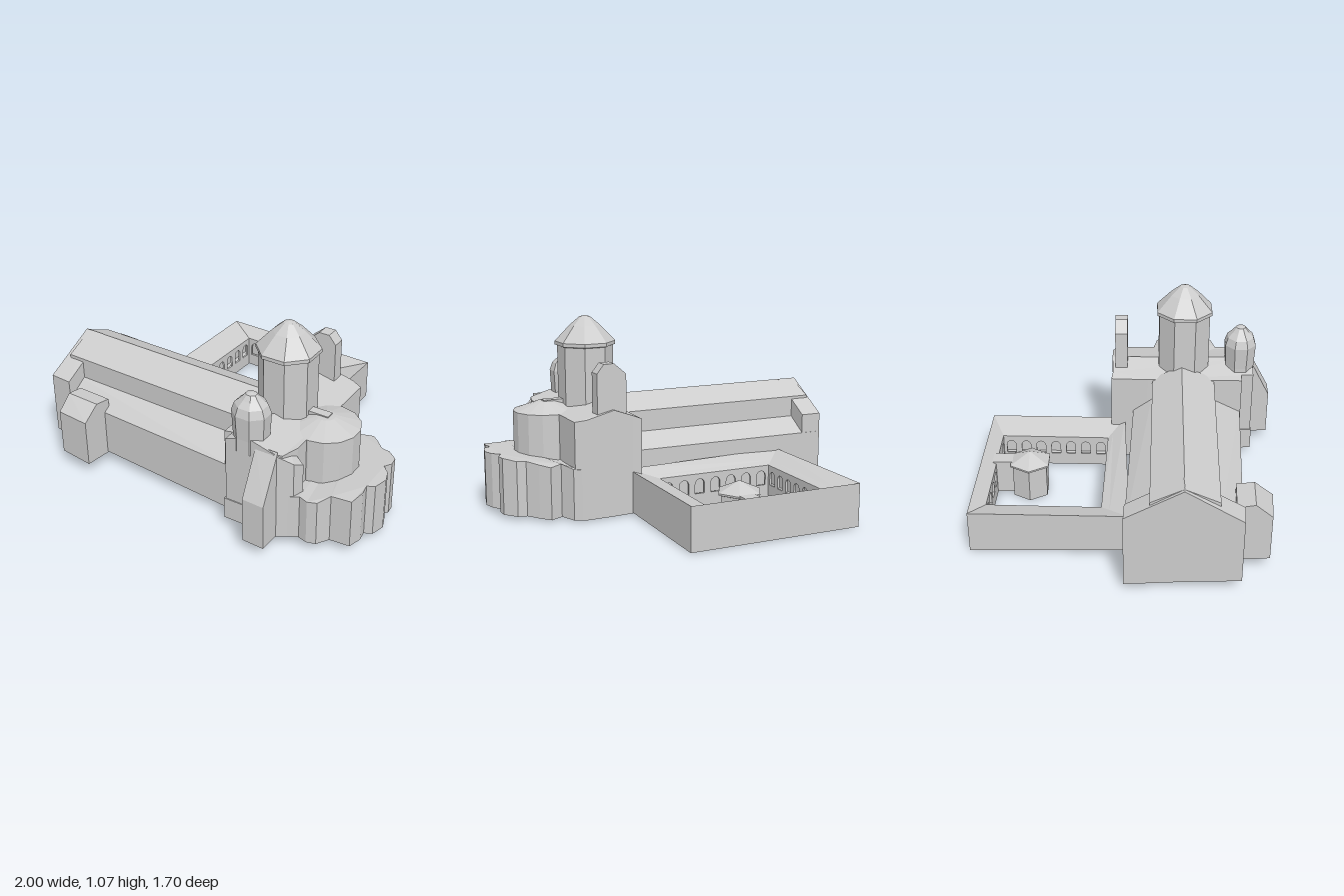
import * as THREE from 'three';

// gently sloping ground under the building
const ground = (x, z) => 0.005 + 0.05 * Math.max(0, z + 0.15) / 0.85
  + 0.03 * Math.max(0, -x - 0.3) / 0.7 * Math.min(1, (z + 0.85) / 1.4);

// solid over a plan outline; each corner is [x, z, top, optional bottom]
function prism(corners) {
  let pts = corners;
  const flat = p => p.map(c => new THREE.Vector2(c[0], c[1]));
  if (THREE.ShapeUtils.area(flat(pts)) > 0) pts = pts.slice().reverse();
  const plan = flat(pts);
  const top = pts.map(c => [c[0], c[2], c[1]]);
  const low = pts.map(c => [c[0], c[3] ?? ground(c[0], c[1]), c[1]]);
  const pos = [];
  const tri = (a, b, c) => pos.push(...a, ...b, ...c);
  for (const f of THREE.ShapeUtils.triangulateShape(plan, [])) {
    const up = THREE.ShapeUtils.area(f.map(i => plan[i])) < 0;
    const [a, b, c] = up ? f : [f[0], f[2], f[1]];
    tri(top[a], top[b], top[c]);
    tri(low[a], low[c], low[b]);
  }
  pts.forEach((_, i) => {
    const j = (i + 1) % pts.length;
    tri(low[i], low[j], top[j]);
    tri(low[i], top[j], top[i]);
  });
  const g = new THREE.BufferGeometry();
  g.setAttribute('position', new THREE.Float32BufferAttribute(pos, 3));
  g.computeVertexNormals();
  return g;
}

export function createModel() {
  const model = new THREE.Group();
  model.name = 'abbey';
  const stone = new THREE.MeshStandardMaterial({ color: 0xcccccc, flatShading: true });
  stone.name = 'pale stone';
  const add = (name, geo, x = 0, y = 0, z = 0) => {
    const m = new THREE.Mesh(geo, stone);
    m.name = name;
    m.position.set(x, y, z);
    model.add(m);
    return m;
  };
  const lathe = (profile, sides, turn) =>
    new THREE.LatheGeometry(profile.map(p => new THREE.Vector2(...p)), sides).rotateY(turn);

  // nave and aisles: strips running between a west and an east end
  const strip = (name, w0, e0, y0, w1, e1, y1) => add(name, prism([
    [-0.96, w0, y0], [0.28, e0, y0], [0.28, e1, y1], [-0.96, w1, y1]]));
  strip('northAisle', -0.03, 0.02, 0.33, 0.1, 0.13, 0.41);
  strip('northNave', 0.1, 0.13, 0.53, 0.27, 0.3, 0.61);
  strip('southNave', 0.27, 0.3, 0.61, 0.45, 0.49, 0.53);
  strip('southAisle', 0.45, 0.49, 0.41, 0.57, 0.65, 0.33);

  // west front
  add('westFrontNorth', prism([[-0.97, -0.03, 0.44], [-0.85, -0.025, 0.44],
    [-0.86, 0.27, 0.61], [-0.98, 0.27, 0.61]]));
  add('westFrontSouth', prism([[-0.98, 0.27, 0.61], [-0.86, 0.27, 0.61],
    [-0.87, 0.58, 0.44], [-1, 0.57, 0.44]]));

  // south porch
  add('porchBack', prism([[-0.82, 0.545, 0.4], [-0.61, 0.555, 0.4], [-0.615, 0.65, 0.415], [-0.82, 0.64, 0.415]]));
  add('porchFront', prism([[-0.82, 0.64, 0.415], [-0.615, 0.65, 0.415], [-0.62, 0.75, 0.34], [-0.82, 0.73, 0.34]]));

  // transept, split along its ridge
  add('transeptWest', prism([[0.3, -0.1, 0.56], [0.41, -0.105, 0.6], [0.41, 0.72, 0.6],
    [0.28, 0.72, 0.55], [0.28, 0.65, 0.55], [0.23, 0.65, 0.54], [0.24, 0.1, 0.54], [0.25, -0.11, 0.54]]));
  add('transeptEast', prism([[0.41, -0.105, 0.6], [0.57, -0.105, 0.56], [0.63, -0.08, 0.55],
    [0.63, 0.6, 0.55], [0.6, 0.7, 0.55], [0.56, 0.72, 0.56], [0.41, 0.72, 0.6]]));
  add('transeptButtress', prism([[0.455, 0.71, 0.57], [0.58, 0.71, 0.57], [0.58, 0.845, 0.32], [0.455, 0.84, 0.32]]));
  add('cornerBlock', prism([[0.58, 0.72, 0.55], [0.65, 0.67, 0.5], [0.67, 0.61, 0.47], [0.58, 0.6, 0.55]]));
  add('lowStep', prism([[0.27, 0.65, 0.18], [0.45, 0.65, 0.18], [0.45, 0.725, 0.18], [0.27, 0.725, 0.18]]));

  // apse: drum with a low conical roof, joined to the crossing
  add('apse', lathe([[0.185, 0.25], [0.185, 0.55], [0.05, 0.598], [0, 0.6]], 14, 0), 0.64, 0, 0.33);
  add('apseRidge', prism([[0.5, 0.3, 0.605, 0.5], [0.66, 0.3, 0.605, 0.5], [0.66, 0.35, 0.605, 0.5], [0.5, 0.35, 0.605, 0.5]]));

  // ring of chapels
  const ring = [[0.6, -0.1], [0.64, -0.08], [0.68, 0], [0.75, -0.03], [0.8, 0.02], [0.85, 0.08],
    [0.9, 0.09], [0.96, 0.15], [0.965, 0.2], [0.94, 0.24], [0.98, 0.28], [1, 0.34], [0.98, 0.42],
    [0.94, 0.44], [0.95, 0.5], [0.93, 0.58], [0.82, 0.59], [0.78, 0.66], [0.73, 0.675], [0.68, 0.66], [0.6, 0.7]];
  add('chapels', prism(ring.map(([x, z]) =>
    [x, z, 0.34 - 0.2 * Math.max(0, Math.abs(z - 0.33) - 0.18)])));

  // crossing tower
  add('crossingTower', lathe([[0.157, 0.5], [0.157, 0.9], [0.17, 0.905], [0.17, 0.925],
    [0.085, 1.015], [0.03, 1.062], [0, 1.07]], 8, Math.PI / 8), 0.403, 0, 0.313);

  // south turret
  add('southTurret', lathe([[0.088, 0.5], [0.088, 0.58], [0.095, 0.71], [0.08, 0.755],
    [0.05, 0.785], [0.028, 0.812], [0, 0.82]], 8, Math.PI / 8), 0.387, 0, 0.643).scale.x = 1.1;

  // north bell gable
  const gable = new THREE.Shape([[0.33, 0.5], [0.5, 0.5], [0.5, 0.8], [0.46, 0.85], [0.4, 0.85], [0.33, 0.79]]
    .map(p => new THREE.Vector2(...p)));
  add('bellGable', new THREE.ExtrudeGeometry(gable, { depth: 0.072, bevelEnabled: false }), 0, 0, -0.087);

  // cloister: four wings with roofs falling to an arcaded court
  const outer = [[-0.67, -0.85], [0.32, -0.82], [0.3, -0.03], [-0.69, 0]];
  const inner = [[-0.52, -0.77], [0.17, -0.75], [0.15, -0.13], [-0.54, -0.15]];
  const back = inner.map((p, i) => [0, 1].map(k => p[k] + 0.3 * (outer[i][k] - p[k])));
  const eave = 0.195, ridge = 0.245, mid = eave + 0.3 * (ridge - eave);
  for (let i = 0; i < 4; i++) {
    const j = (i + 1) % 4;
    add('cloisterWing', prism([[...outer[i], ridge], [...outer[j], ridge], [...back[j], mid], [...back[i], mid]]));
    add('cloisterEaves', prism([[...back[i], mid, 0.18], [...back[j], mid, 0.18],
      [...inner[j], eave, 0.18], [...inner[i], eave, 0.18]]));
    add('cloisterFloor', prism([[...back[i], 0.07], [...back[j], 0.07], [...inner[j], 0.07], [...inner[i], 0.07]]));

    // arcade wall with round-headed openings
    const dx = inner[j][0] - inner[i][0], dz = inner[j][1] - inner[i][1];
    const length = Math.hypot(dx, dz), n = 7, step = length / n;
    const wall = new THREE.Shape();
    wall.moveTo(0, 0.025).lineTo(length, 0.025).lineTo(length, eave).lineTo(0, eave).closePath();
    for (let k = 0; k < n; k++) {
      const c = (k + 0.5) * step, r = step * 0.3;
      const arch = new THREE.Path();
      arch.moveTo(c - r, 0.08).lineTo(c + r, 0.08).lineTo(c + r, 0.135);
      arch.absarc(c, 0.135, r, 0, Math.PI, false);
      arch.closePath();
      wall.holes.push(arch);
    }
    const geo = new THREE.ExtrudeGeometry(wall, { depth: 0.012, bevelEnabled: false, curveSegments: 6 });
    geo.translate(0, 0, -0.012);
    add('cloisterArcade', geo, inner[i][0], 0, inner[i][1]).rotation.y = -Math.atan2(dz, dx);
  }

  // hexagonal fountain house and its passage
  add('fountainHouse', lathe([[0, 0], [0.11, 0], [0.11, 0.19], [0.125, 0.195], [0.125, 0.205], [0, 0.263]], 6, Math.PI / 2),
    -0.1, 0, -0.568);
  add('fountainPassage', new THREE.BoxGeometry(0.09, 0.2, 0.14), -0.087, 0.11, -0.71);
  return model;
}
